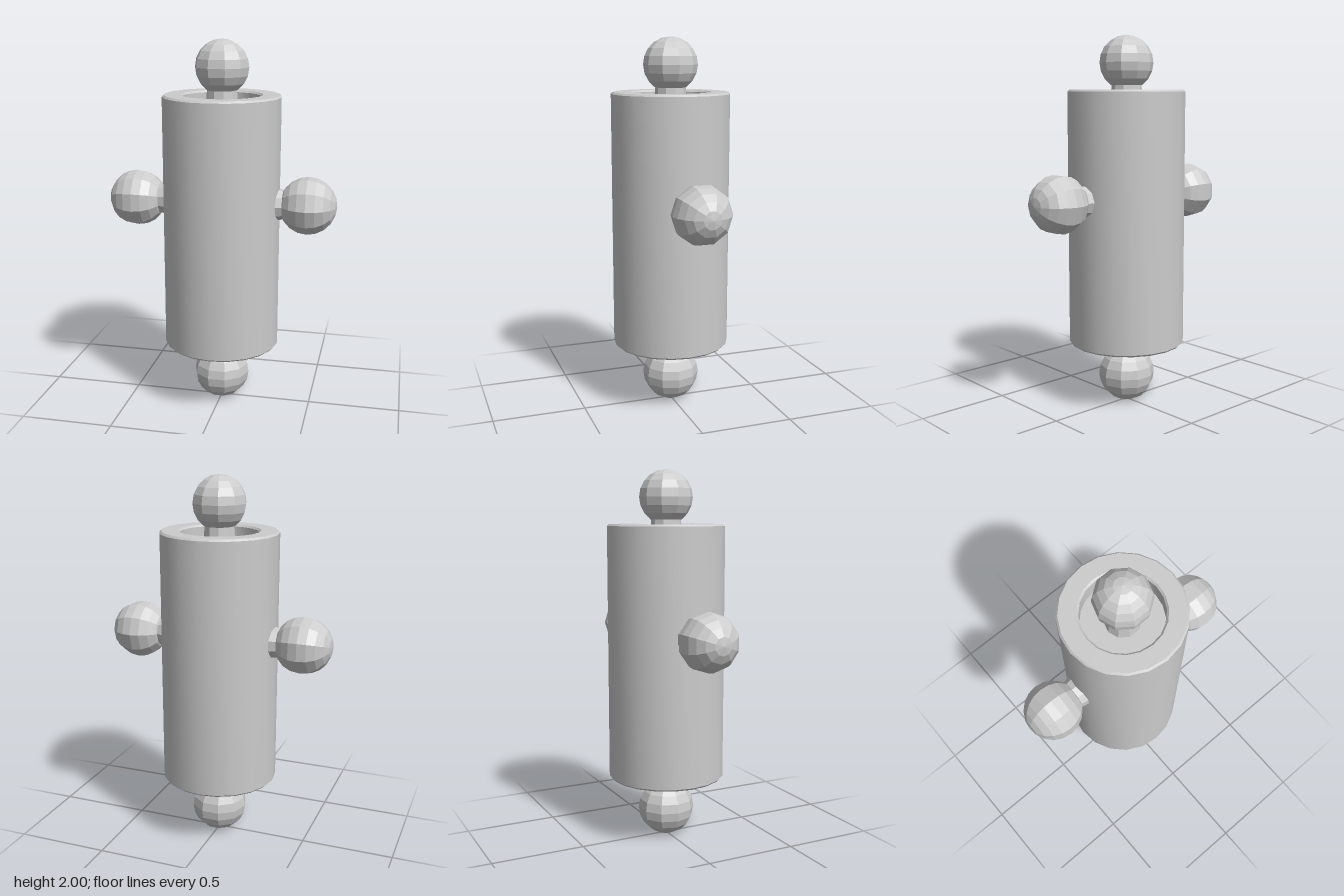
import * as THREE from 'three';
import { toCreasedNormals } from 'three/addons/utils/BufferGeometryUtils.js';

const V = (x, y) => new THREE.Vector2(x, y);

// Low-poly ball on a short tapered neck: root at y = 0, ball centre at y = reach
function makeKnob(name, radius, reach, phiStart) {
  const rings = 10;
  const neckAngle = Math.asin(0.082 / radius);
  const points = [V(0.092, 0), V(0.08, reach - radius * Math.cos(neckAngle))];
  for (let i = 2; i <= rings; i++) {
    const a = (i / rings) * Math.PI;
    const r = i === rings ? 0 : radius * Math.sin(a);
    points.push(V(r, reach - radius * Math.cos(a)));
  }
  const material = new THREE.MeshStandardMaterial({ color: 0xcccccc, flatShading: true, side: THREE.DoubleSide });
  const mesh = new THREE.Mesh(new THREE.LatheGeometry(points, 10, phiStart), material);
  mesh.name = name;
  return mesh;
}

export function createModel() {
  const group = new THREE.Group();
  group.name = 'knobbedCylinder';

  // Cylinder with chamfered edges and a round recess in the top
  const R = 0.315, bottom = 0.335, top = 1.715, inner = 0.207, c = 0.01, floor = 1.61;
  const profile = [
    V(0, bottom), V(R - c, bottom), V(R, bottom + c),
    V(R, top - c), V(R - c, top),
    V(inner + c, top), V(inner, top - c), V(inner, floor), V(0, floor),
  ];
  const body = new THREE.Mesh(
    toCreasedNormals(new THREE.LatheGeometry(profile, 20), 0.6),
    new THREE.MeshStandardMaterial({ color: 0xcccccc })
  );
  body.name = 'body';
  group.add(body);

  // Knobs: name, ball radius, reach, lathe start, root position, tilt about z
  const q = Math.PI / 2;
  const knobs = [
    ['topKnob', 0.144, 1.856 - 1.6, q, [0, 1.6, 0], 0],
    ['bottomKnob', 0.154, 0.36 - 0.154, q, [0, 0.36, 0], Math.PI],
    ['leftKnob', 0.154, 0.466 - 0.28, 0, [0.28, 1.14, 0], -q],
    ['rightKnob', 0.154, 0.47 - 0.28, q, [-0.28, 1.14, 0], q],
  ];
  for (const [name, radius, reach, phi, position, tilt] of knobs) {
    const knob = makeKnob(name, radius, reach, phi);
    knob.position.set(...position);
    knob.rotation.z = tilt;
    group.add(knob);
  }
  return group;
}
